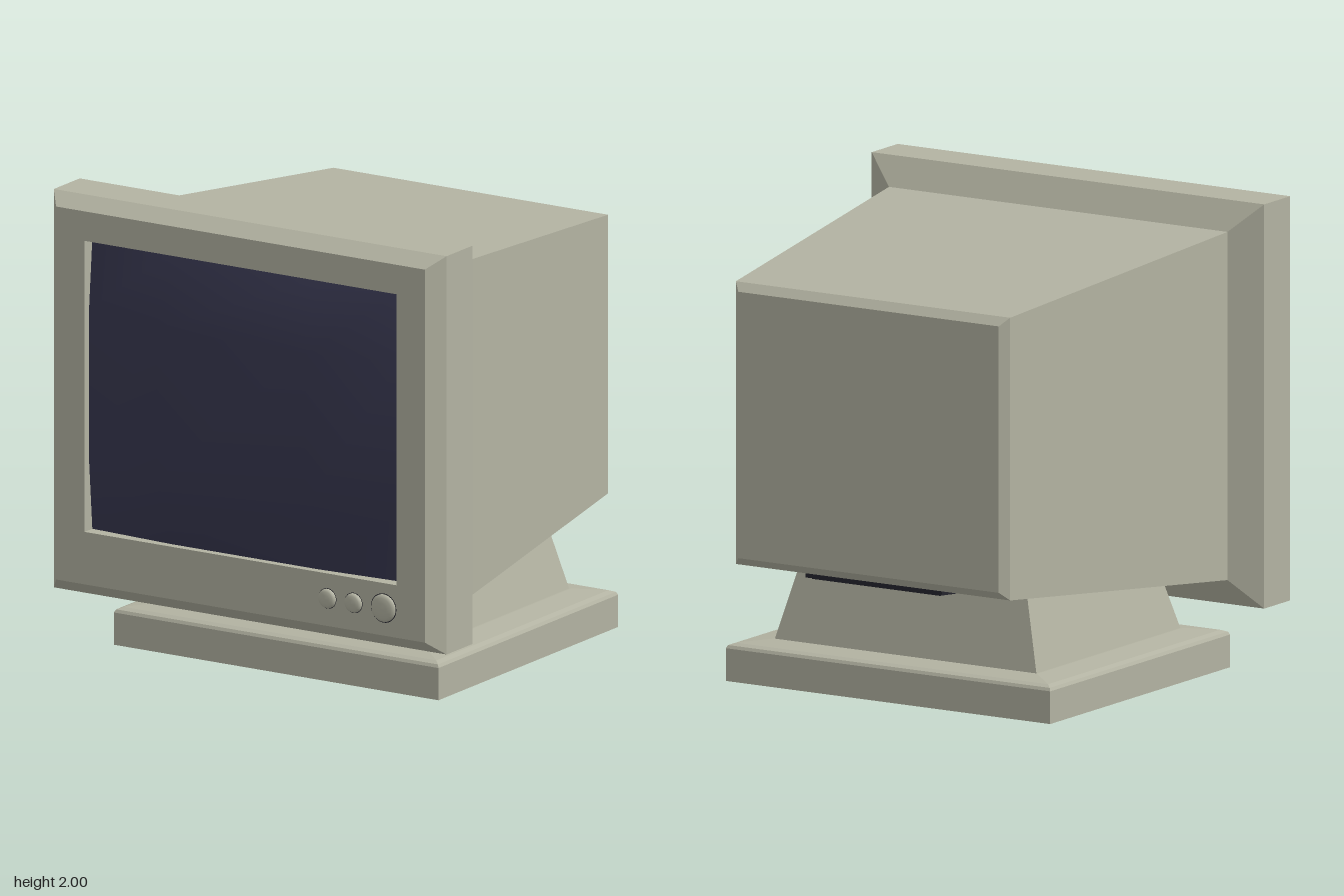
import * as THREE from 'three';

const shell = new THREE.MeshStandardMaterial({ color: 0xb3b3a2 });
const glass = new THREE.MeshStandardMaterial({ color: 0x37374f });
const dark = new THREE.MeshStandardMaterial({ color: 0x24242c });

// Rectangular cross-sections: facing z, or facing y
const rectZ = (z, hx, y0, y1) => [[-hx, y0, z], [hx, y0, z], [hx, y1, z], [-hx, y1, z]];
const rectY = (y, hx, z0, z1) => [[-hx, y, z1], [hx, y, z1], [hx, y, z0], [-hx, y, z0]];

// Closed, hard-edged solid through a row of four-cornered sections
function loft(sections) {
  const pos = [];
  const quad = (a, b, c, d) => pos.push(...a, ...b, ...c, ...a, ...c, ...d);
  const first = sections[0], last = sections[sections.length - 1];
  quad(first[3], first[2], first[1], first[0]);
  for (let i = 0; i < sections.length - 1; i++) {
    const a = sections[i], b = sections[i + 1];
    for (let j = 0; j < 4; j++) {
      const k = (j + 1) % 4;
      quad(a[j], a[k], b[k], b[j]);
    }
  }
  quad(...last);
  const geo = new THREE.BufferGeometry();
  geo.setAttribute('position', new THREE.Float32BufferAttribute(pos, 3));
  geo.computeVertexNormals();
  return geo;
}

// Bulging screen: flat middle, sides falling back into the bezel
function screenGeometry() {
  const geo = new THREE.PlaneGeometry(2, 2, 3, 3);
  const p = geo.attributes.position;
  for (let i = 0; i < p.count; i++) {
    const x = p.getX(i), y = p.getY(i);
    const edgeX = Math.abs(x) > 0.9, edgeY = Math.abs(y) > 0.9;
    const z = edgeX && edgeY ? 0.81 : edgeX || edgeY ? 0.835 : 0.945;
    p.setXYZ(i, Math.sign(x) * (edgeX ? 0.778 : 0.37), 1.19 + Math.sign(y) * (edgeY ? 0.632 : 0.33), z);
  }
  geo.computeVertexNormals();
  return geo;
}

export function createModel() {
  const model = new THREE.Group();
  model.name = 'monitor';
  const add = (name, geo, mat, parent = model) => {
    const mesh = new THREE.Mesh(geo, mat);
    mesh.name = name;
    parent.add(mesh);
    return mesh;
  };

  // Tapered housing, bezel and the opening for the screen
  add('housing', loft([
    rectZ(-0.94, 0.65, 0.57, 1.71),
    rectZ(-0.905, 0.685, 0.535, 1.745),
    rectZ(0.52, 0.845, 0.39, 1.88),
    rectZ(0.595, 0.98, 0.27, 2.0),
    rectZ(0.795, 0.98, 0.27, 2.0),
    rectZ(0.87, 0.92, 0.33, 1.95),
    rectZ(0.87, 0.778, 0.558, 1.822),
    rectZ(0.8, 0.778, 0.558, 1.822),
  ]), shell);
  add('screen', screenGeometry(), glass);

  // Domed control buttons, each in a dark rim
  for (const [name, x, r] of [['smallButton', 0.435, 0.042], ['middleButton', 0.565, 0.042], ['powerButton', 0.715, 0.06]]) {
    const button = new THREE.Group();
    button.name = name;
    button.position.set(x, 0.45, 0.87);
    const profile = [[r, -0.01], [r, 0.004], [r * 0.93, 0.011], [r * 0.75, 0.016], [r * 0.4, 0.019], [0, 0.02]];
    const dome = new THREE.LatheGeometry(profile.map(([a, b]) => new THREE.Vector2(a, b)), 28);
    add('buttonDome', dome.rotateX(Math.PI / 2), shell, button);
    add('buttonRim', new THREE.RingGeometry(r * 0.98, r * 1.06, 28), dark, button).position.z = 0.001;
    model.add(button);
  }

  // Pedestal neck and bevelled foot
  add('neck', loft([rectY(0.16, 0.657, -0.657, 0.457), rectY(0.52, 0.56, -0.59, 0.37)]), shell);
  add('foot', loft([
    rectY(0, 0.81, -0.79, 0.595),
    rectY(0.14, 0.81, -0.79, 0.595),
    rectY(0.153, 0.803, -0.783, 0.588),
    rectY(0.162, 0.78, -0.76, 0.565),
    rectY(0.175, 0.66, -0.66, 0.46),
  ]), shell);

  // Slatted vent lying along the sloping underside
  const vent = new THREE.Group();
  vent.name = 'vent';
  vent.position.set(0, 0.518, -0.77);
  vent.rotation.x = 0.1;
  add('ventPanel', new THREE.BoxGeometry(0.68, 0.03, 0.26), dark, vent);
  for (let i = 0; i < 8; i++) {
    add('ventSlat', new THREE.BoxGeometry(0.64, 0.01, 0.014), dark, vent).position.set(0, -0.015, -0.105 + i * 0.03);
  }
  model.add(vent);

  return model;
}
